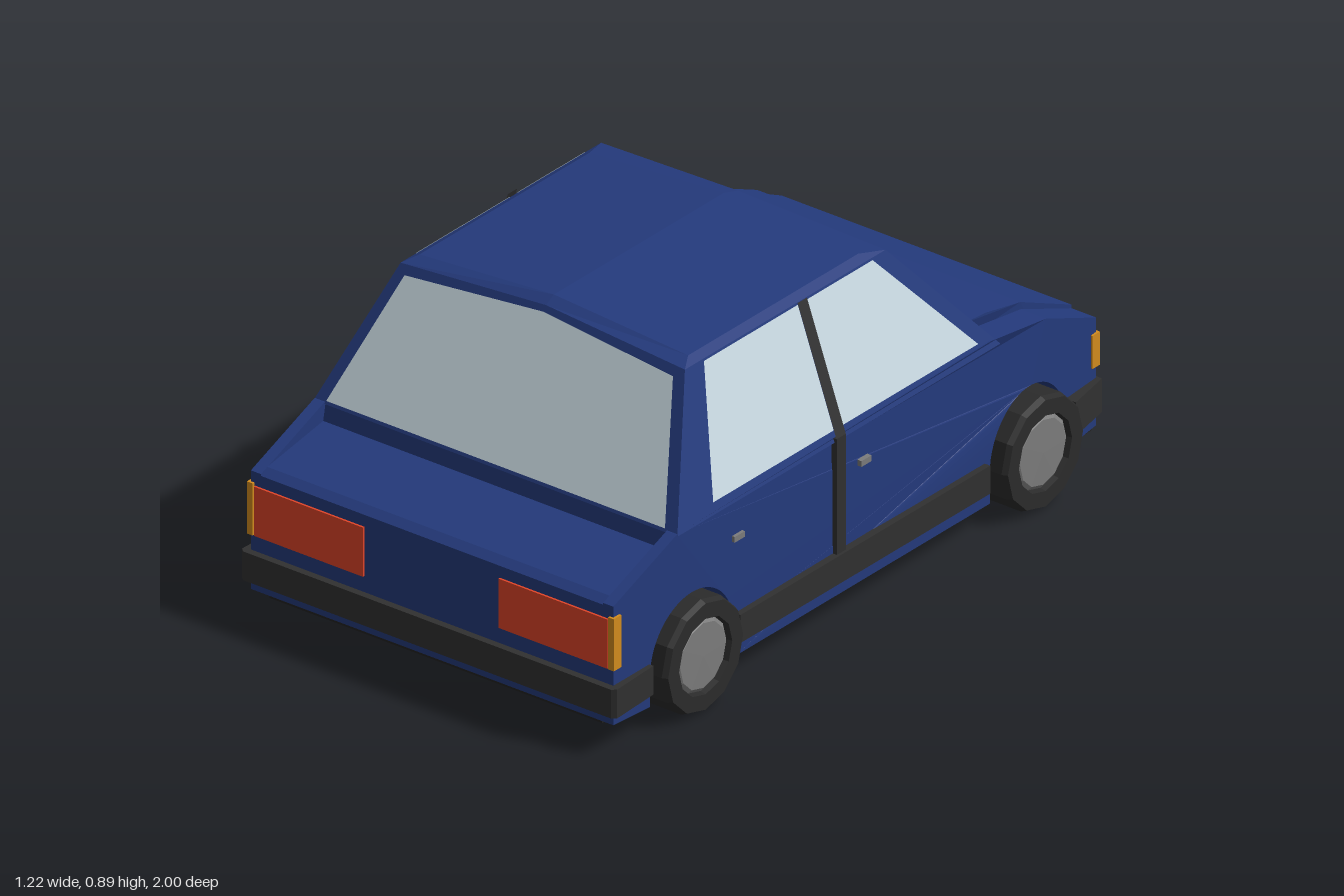
import * as THREE from 'three';

const mat = (name, color, side = THREE.FrontSide) => {
  const m = new THREE.MeshStandardMaterial({ color, side });
  m.name = name;
  return m;
};

export function createModel() {
  const car = new THREE.Group();
  car.name = 'car';
  const paint = mat('bluePaint', 0x243a7c);
  const glass = mat('paleGlass', 0xc8d8e0, THREE.DoubleSide);
  const trim = mat('blackTrim', 0x303030, THREE.DoubleSide);
  const under = mat('underside', 0x222222);
  const rubber = mat('tyreRubber', 0x2b2b2b);
  const metal = mat('greyMetal', 0x7c7c7c);
  const red = mat('redLamp', 0xe04428);
  const orange = mat('orangeLamp', 0xd38c1e);

  const add = (name, geo, m) => {
    const mesh = new THREE.Mesh(geo, m);
    mesh.name = name;
    car.add(mesh);
    return mesh;
  };
  // box given by its minimum and maximum corners
  const box = (name, m, x0, x1, y0, y1, z0, z1) => add(name,
    new THREE.BoxGeometry(x1 - x0, y1 - y0, z1 - z0)
      .translate((x0 + x1) / 2, (y0 + y1) / 2, (z0 + z1) / 2), m);
  const pair = (name, m, x0, x1, ...r) => {
    box(name + 'Left', m, x0, x1, ...r);
    box(name + 'Right', m, -x1, -x0, ...r);
  };
  const mesh3 = tris => {
    const g = new THREE.BufferGeometry();
    g.setAttribute('position', new THREE.Float32BufferAttribute(tris.flat(), 3));
    g.computeVertexNormals();
    return g;
  };
  // flat-faced fan around the first corner
  const panel = (name, m, pts) => {
    const tris = [];
    for (let i = 1; i < pts.length - 1; i++) tris.push(pts[0], pts[i], pts[i + 1]);
    add(name, mesh3(tris), m);
  };

  // lower body: side-profile slabs, narrowed towards the nose
  const slab = (name, x0, x1, top, arches) => {
    const s = new THREE.Shape();
    s.moveTo(-0.97, 0.08);
    for (const z of [-0.67, 0.67]) {
      if (!arches) continue;
      s.lineTo(z - 0.165, 0.07);
      s.lineTo(z - 0.165, 0.155);
      s.absarc(z, 0.155, 0.165, Math.PI, 0, true);
      s.lineTo(z + 0.165, 0.07);
    }
    s.lineTo(0.98, 0.08);
    top.forEach(p => s.lineTo(p[0], p[1]));
    const g = new THREE.ExtrudeGeometry(s, { depth: x1 - x0, bevelEnabled: false, curveSegments: 14 });
    g.rotateY(-Math.PI / 2).translate(x1, 0, 0);
    const p = g.attributes.position;
    for (let i = 0; i < p.count; i++) {
      const t = Math.max(0, -0.5 - p.getZ(i)) / 0.47;
      p.setX(i, p.getX(i) * (1 - 0.065 * t));
    }
    g.computeVertexNormals();
    add(name, g, paint);
  };
  const fender = [[-0.51, 0.52], [-0.75, 0.475], [-0.97, 0.38]];
  const deck = [[0.98, 0.405], [0.955, 0.42], [0.735, 0.455], [0.725, 0.505]];
  const shoulder = [[0.98, 0.41], [0.73, 0.505]];
  slab('coreAndBonnet', -0.485, 0.485,
    [...deck, [-0.5, 0.545], [-0.6, 0.532], [-0.75, 0.495], [-0.97, 0.39]], false);
  for (const [n, s] of [['Left', 1], ['Right', -1]]) {
    const span = (a, b) => (s > 0 ? [a, b] : [-b, -a]);
    slab('innerWing' + n, ...span(0.485, 0.535), [...deck, ...fender], true);
    slab('outerWing' + n, ...span(0.535, 0.567), [...shoulder, ...fender], true);
  }
  box('floor', under, -0.55, 0.55, 0.06, 0.072, -0.5, 0.5);
  for (const s of [-1, 1]) {
    box('floorBetweenWheels', under, -0.48, 0.48, 0.06, 0.072, s * 0.67 - 0.17, s * 0.67 + 0.17);
    box('floorEnd', under, -0.52, 0.52, 0.064, 0.082, s * 0.9 - 0.065, s * 0.9 + 0.065);
  }

  // cabin: rings at belt, eaves and crowned roof
  const rearZ = y => 0.73 - 0.54 * (y - 0.5);
  const frontZ = y => -0.544 + 0.86 * (y - 0.5);
  const sideX = y => 0.569 - 0.36 * (y - 0.5);
  const ring = (w, y, yc, zr, zf) => [
    [w, y, zr(y)], [0, yc, zr(yc)], [-w, y, zr(y)],
    [-w, y, zf(y)], [0, yc, zf(yc)], [w, y, zf(y)]];
  const rings = [
    ring(0.569, 0.5, 0.5, rearZ, frontZ),
    ring(sideX(0.845), 0.845, 0.87, rearZ, frontZ),
    ring(0.42, 0.858, 0.887, () => 0.5, () => -0.17)];
  const tris = [];
  for (let r = 0; r < 2; r++) {
    for (let i = 0; i < 6; i++) {
      const j = (i + 1) % 6, lo = rings[r], hi = rings[r + 1];
      tris.push(lo[j], lo[i], hi[i], lo[j], hi[i], hi[j]);
    }
  }
  for (const q of [[0, 5, 4, 1], [1, 4, 3, 2]]) {
    const [a, b, c, d] = q.map(i => rings[2][i]);
    tris.push(a, b, c, a, c, d);
  }
  add('cabin', mesh3(tris), paint);

  // windscreens
  const screen = (name, zAt, off, y0, y1, yc) => panel(name, glass,
    [[0, y0], [0.53, y0], [0.42, y1], [0, yc], [-0.42, y1], [-0.53, y0]]
      .map(([x, y]) => [x, y, zAt(y) + off]));
  screen('rearScreen', rearZ, 0.005, 0.51, 0.825, 0.857);
  screen('frontScreen', frontZ, -0.006, 0.535, 0.82, 0.857);

  // side windows, centre pillars, sills and handles
  for (const [n, s] of [['Left', 1], ['Right', -1]]) {
    const onSide = (name, m, off, pts) =>
      panel(name + n, m, pts.map(([z, y]) => [s * (sideX(y) + off), y, z]));
    onSide('rearSideWindow', glass, 0.004, [[0.58, 0.53], [0.475, 0.842], [0.105, 0.842], [0.105, 0.53]]);
    onSide('frontSideWindow', glass, 0.004, [[0.075, 0.53], [0.075, 0.842], [-0.19, 0.842], [-0.465, 0.53]]);
    onSide('pillar', trim, 0.01, [[0.11, 0.51], [0.11, 0.85], [0.073, 0.85], [0.073, 0.51]]);
  }
  pair('doorStrip', trim, 0.56, 0.576, 0.18, 0.512, 0.073, 0.11);
  pair('sill', trim, 0.55, 0.584, 0.112, 0.19, -0.485, 0.5);
  for (const z of [0.49, -0.01]) pair('doorHandle', metal, 0.56, 0.574, 0.392, 0.408, z - 0.02, z + 0.02);

  // bumpers from plan outlines
  const bumper = (name, half, y0, y1) => {
    const pts = [...half, ...half.slice().reverse().map(([x, z]) => [-x, z])];
    const s = new THREE.Shape(pts.map(([x, z]) => new THREE.Vector2(x, z)));
    const g = new THREE.ExtrudeGeometry(s, { depth: y1 - y0, bevelEnabled: false });
    add(name, g.rotateX(Math.PI / 2).translate(0, y1, 0), trim);
  };
  bumper('rearBumper', [[0.58, 0.838], [0.587, 0.99], [0.575, 1.0]], 0.11, 0.19);
  bumper('frontBumper', [[0.572, -0.838], [0.545, -0.975], [0.02, -1.0]], 0.12, 0.213);

  // lamps and grille
  pair('tailLamp', red, 0.212, 0.553, 0.235, 0.372, 0.978, 0.986);
  pair('rearMarker', orange, 0.556, 0.574, 0.235, 0.38, 0.957, 0.987);
  box('grille', trim, -0.27, 0.27, 0.235, 0.335, -0.976, -0.968);
  pair('headlamp', glass, 0.275, 0.455, 0.24, 0.34, -0.977, -0.969);
  pair('frontIndicator', orange, 0.465, 0.537, 0.248, 0.34, -0.977, -0.948);

  // wheels: tyre and hub turned about the axle
  const lathe = (pts, s) => new THREE.LatheGeometry(pts.map(p => new THREE.Vector2(...p)), 12)
    .toNonIndexed().rotateZ(s > 0 ? -Math.PI / 2 : Math.PI / 2);
  for (const s of [1, -1]) {
    for (const z of [0.67, -0.67]) {
      const tyre = lathe([[0, 0.5], [0.155, 0.5], [0.155, 0.595], [0.148, 0.61], [0.105, 0.61], [0.1, 0.59]], s);
      const hub = lathe([[0.104, 0.592], [0.09, 0.602], [0, 0.604]], s);
      for (const [name, g, m] of [['tyre', tyre, rubber], ['hub', hub, metal]]) {
        g.computeVertexNormals();
        add(name, g, m).position.set(0, 0.155, z);
      }
    }
  }
  return car;
}
